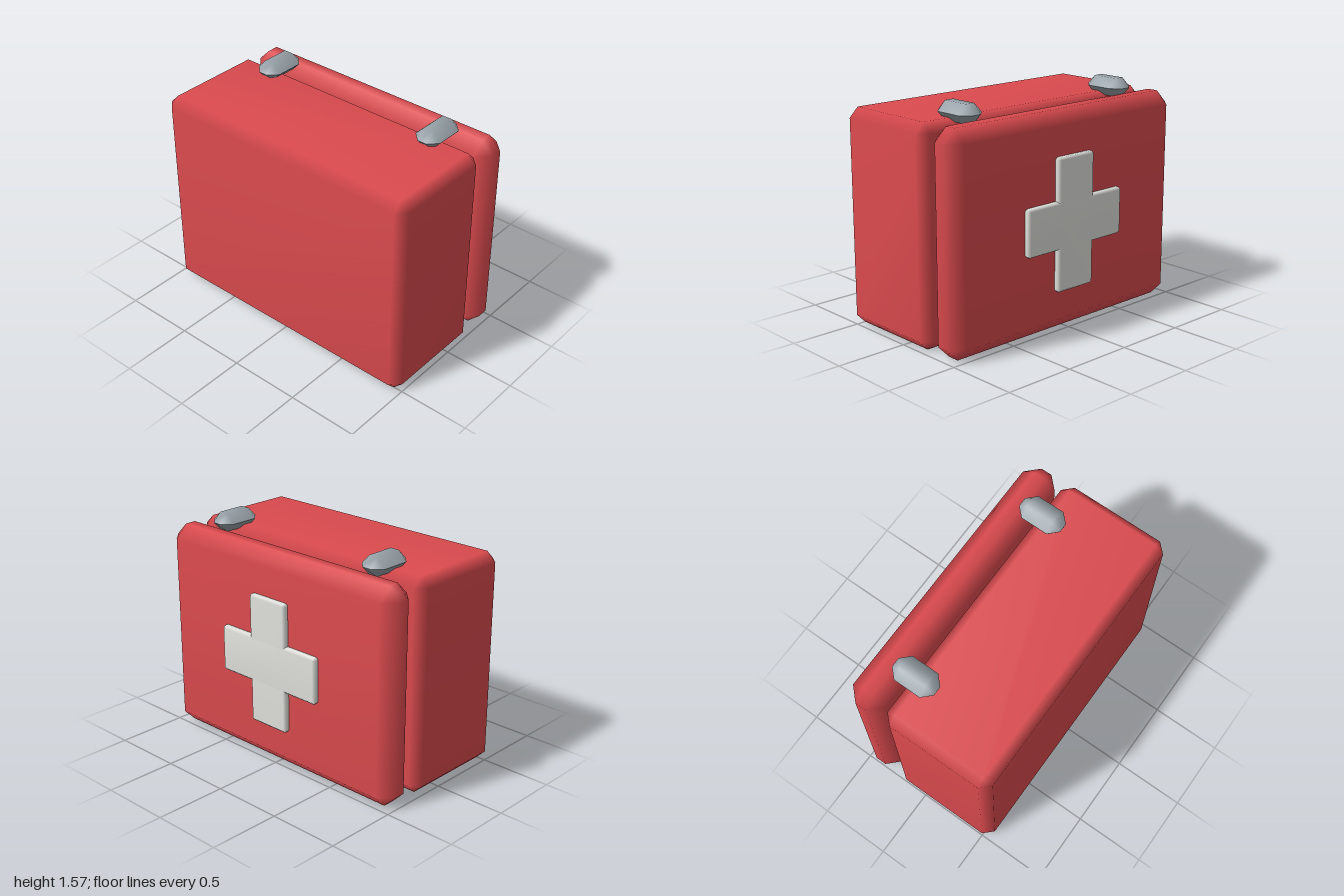
import * as THREE from 'three';
import { ConvexGeometry } from 'three/addons/geometries/ConvexGeometry.js';
import { mergeVertices } from 'three/addons/utils/BufferGeometryUtils.js';

const material = (name, color) => new THREE.MeshStandardMaterial({ name, color });

// Smooth-shaded box with single-step chamfers, given by its min and max corners.
function chamferBox(name, min, max, c, mat) {
  const size = max.map((v, i) => v - min[i]);
  const points = [];
  for (const sx of [-1, 1]) for (const sy of [-1, 1]) for (const sz of [-1, 1]) {
    for (let axis = 0; axis < 3; axis++) {
      const p = [sx, sy, sz].map((s, i) => s * (size[i] / 2 - (i === axis ? 0 : c)));
      points.push(new THREE.Vector3(...p));
    }
  }
  let geometry = new ConvexGeometry(points);
  geometry.deleteAttribute('normal');
  geometry = mergeVertices(geometry, 1e-5);
  geometry.computeVertexNormals();
  const mesh = new THREE.Mesh(geometry, mat);
  mesh.name = name;
  mesh.position.set(...min.map((v, i) => (v + max[i]) / 2));
  return mesh;
}

export function createModel() {
  const red = material('case red', 0xda4a4e);
  const white = material('off white', 0xe0e0dc);
  const steel = material('steel grey', 0x98a2a8);
  const group = new THREE.Group();
  group.name = 'firstAidCase';

  // Deep body and thinner lid
  group.add(chamferBox('body', [-1, 0, -0.232], [1, 1.473, 0.565], 0.065, red));
  group.add(chamferBox('lid', [-1, 0, -0.52], [1, 1.473, -0.265], 0.088, red));

  // Clasps bridging the gap on top
  for (const [side, x] of [['left', 0.673], ['right', -0.673]]) {
    group.add(chamferBox(side + 'Clasp', [x - 0.095, 1.444, -0.36], [x + 0.095, 1.57, -0.04], 0.062, steel));
  }

  // Cross on the outside of the lid
  const cross = new THREE.Group();
  cross.name = 'cross';
  cross.add(chamferBox('crossUpright', [-0.16, 0.29, -0.565], [0.16, 1.19, -0.51], 0.016, white));
  cross.add(chamferBox('crossBar', [-0.425, 0.58, -0.565], [0.425, 0.9, -0.51], 0.016, white));
  group.add(cross);

  // Supplies strapped inside the lid, just filling the gap
  group.add(chamferBox('middleSupply', [-0.175, 0.33, -0.34], [0.175, 0.96, -0.23], 0.05, steel));
  for (const [side, x] of [['left', 0.44], ['right', -0.44]]) {
    group.add(chamferBox(side + 'Supply', [x - 0.15, 0.565, -0.34], [x + 0.15, 0.98, -0.23], 0.05, steel));
  }
  return group;
}
